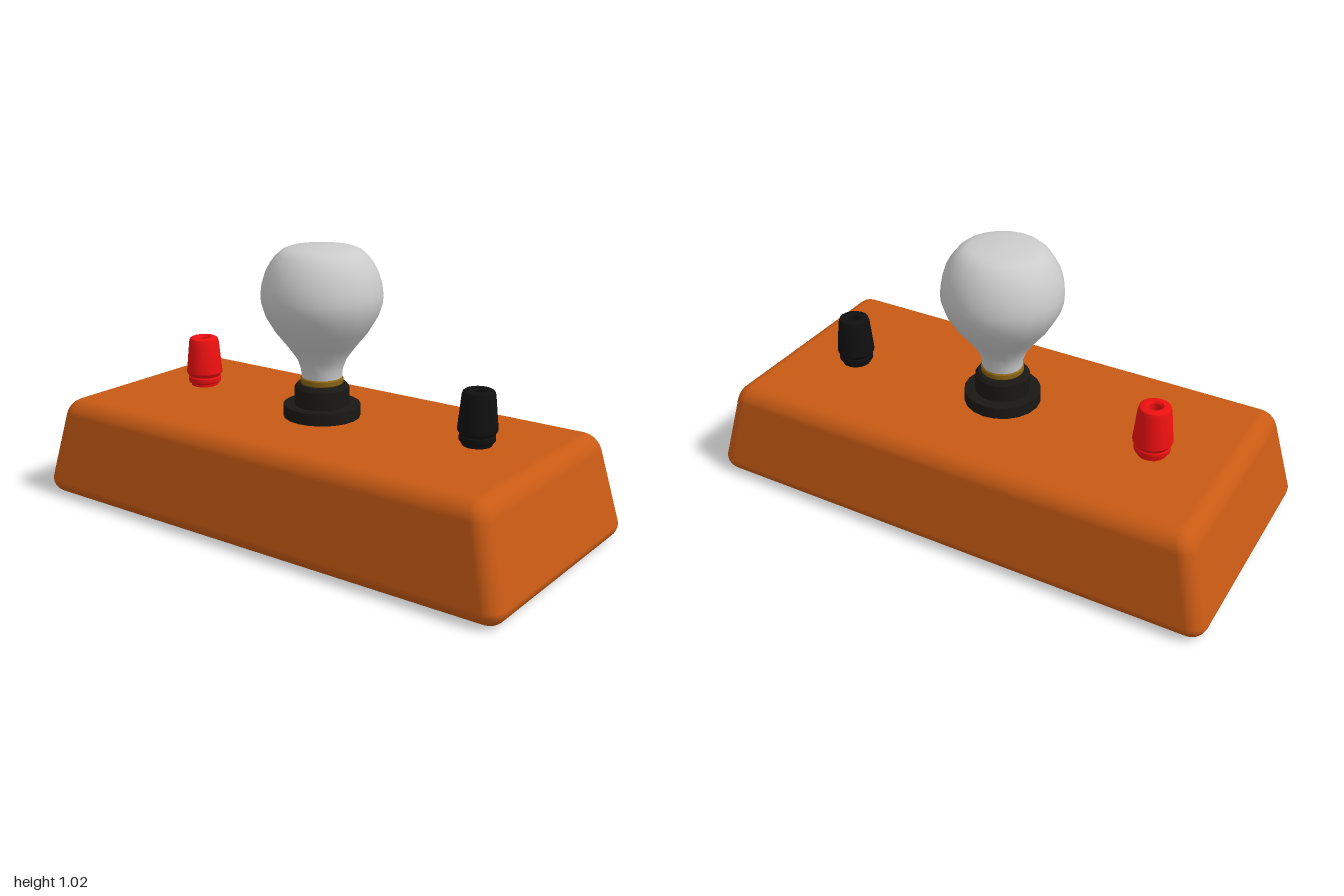
import * as THREE from 'three';
import { RoundedBoxGeometry } from 'three/addons/geometries/RoundedBoxGeometry.js';
import { toCreasedNormals } from 'three/addons/utils/BufferGeometryUtils.js';

const ORANGE = 0xc85a14, RED = 0xee1010, BLACK = 0x101010, SOCKET = 0x1a1814, BRASS = 0x8a6414, GLASS = 0xcccccc;

function part(name, geometry, color) {
  const mesh = new THREE.Mesh(geometry, new THREE.MeshStandardMaterial({ color }));
  mesh.name = name;
  return mesh;
}

// Profile of [radius, y] pairs from bottom to top
function turned(name, profile, color, crease = 0.6, segments = 20) {
  const lathe = new THREE.LatheGeometry(profile.map(([r, y]) => new THREE.Vector2(r, y)), segments);
  return part(name, toCreasedNormals(lathe, crease), color);
}

// Rounded box whose walls lean inward towards the top
function taperedBase() {
  const h = 0.388, r = 0.06, leanX = 0.07, leanZ = 0.064;
  const g = new RoundedBoxGeometry(2, h, 0.94, 3, r);
  g.translate(0, h / 2, 0);
  const p = g.attributes.position, n = g.attributes.normal, v = new THREE.Vector3();
  const span = h - 2 * r;
  for (let i = 0; i < p.count; i++) {
    const x = p.getX(i), y = p.getY(i), z = p.getZ(i);
    const t = Math.max(0, (y - r) / span);
    const sx = 1 - leanX * t, sz = 1 - leanZ * t;
    p.setXYZ(i, x * sx, y, z * sz);
    const nx = n.getX(i) / sx, nz = n.getZ(i) / sz;
    const slope = y > r - 1e-4 ? (nx * x * leanX + nz * z * leanZ) / span : 0;
    v.set(nx, n.getY(i) + slope, nz).normalize();
    n.setXYZ(i, v.x, v.y, v.z);
  }
  return part('base', g, ORANGE);
}

// Screw terminal: stem, collar, tapered cap with a recessed socket on top
function terminal(name, x, color) {
  const group = new THREE.Group();
  group.name = name;
  group.add(
    turned('terminalStem', [[0, 0.38], [0.053, 0.38], [0.053, 0.405], [0, 0.405]], color),
    turned('terminalCollar', [[0, 0.4], [0.06, 0.4], [0.064, 0.406], [0.064, 0.422], [0.058, 0.43], [0, 0.43]], color),
    turned('terminalCap', [[0, 0.425], [0.06, 0.425], [0.071, 0.442], [0.07, 0.455], [0.059, 0.565],
      [0.055, 0.578], [0.047, 0.583], [0.03, 0.583], [0.024, 0.575], [0.024, 0.54], [0, 0.54]], color)
  );
  group.position.set(x, 0, -0.048);
  return group;
}

export function createModel() {
  const model = new THREE.Group();
  model.name = 'lampOnStand';
  model.add(taperedBase());

  // Lamp holder
  model.add(
    turned('holderFlange', [[0, 0.38], [0.142, 0.38], [0.142, 0.433], [0, 0.433]], SOCKET),
    turned('holderBody', [[0, 0.43], [0.101, 0.43], [0.101, 0.498], [0.09, 0.512], [0, 0.512]], SOCKET),
    turned('brassCap', [[0, 0.51], [0.074, 0.51], [0.079, 0.516], [0.079, 0.532], [0.074, 0.537], [0, 0.537]], BRASS)
  );

  // Glass bulb
  const bulb = [[0.074, 0.53], [0.076, 0.563], [0.09, 0.604], [0.125, 0.653], [0.173, 0.712], [0.206, 0.767],
    [0.219, 0.81], [0.221, 0.84], [0.216, 0.88], [0.202, 0.925], [0.184, 0.958], [0.165, 0.983],
    [0.145, 1.0], [0.12, 1.01], [0.08, 1.014], [0.04, 1.018], [0, 1.022]];
  model.add(turned('bulb', bulb, GLASS, 1.2));

  model.add(terminal('redTerminal', -0.62, RED), terminal('blackTerminal', 0.625, BLACK));
  return model;
}
